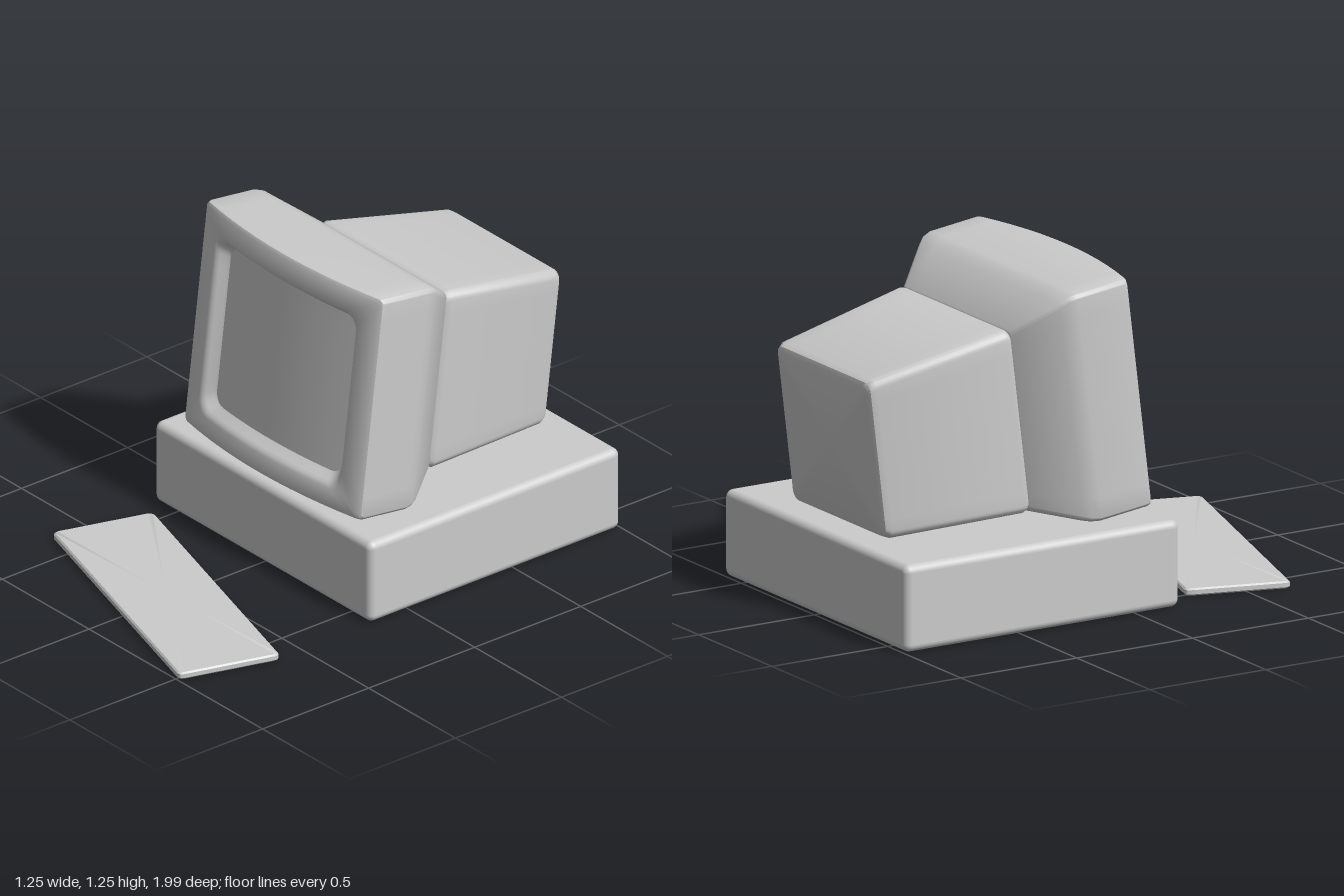
import * as THREE from 'three';
import { toCreasedNormals } from 'three/addons/utils/BufferGeometryUtils.js';
import { RoundedBoxGeometry } from 'three/addons/geometries/RoundedBoxGeometry.js';

const grey = new THREE.MeshStandardMaterial({ color: 0xcccccc });
const ARC = 6, EDGE = 12, HALF_W = 0.51;

// Rounded rectangle outline, counter-clockwise, bent backwards towards its sides
function outline([z, hx, y0, y1, r, bend = 0]) {
  const arcs = [];
  for (let k = 0; k < 4; k++) {
    const cx = (k === 0 || k === 3 ? 1 : -1) * (hx - r);
    const cy = k < 2 ? y1 - r : y0 + r;
    for (let i = 0; i <= ARC; i++) {
      const a = (k + i / ARC) * Math.PI / 2;
      arcs.push([cx + r * Math.cos(a), cy + r * Math.sin(a)]);
    }
  }
  const pts = [];
  arcs.forEach((p, i) => {
    pts.push(p);
    if (i % (ARC + 1) !== ARC) return;
    const q = arcs[(i + 1) % arcs.length];
    for (let j = 1; j < EDGE; j++) {
      const t = j / EDGE;
      pts.push([p[0] + (q[0] - p[0]) * t, p[1] + (q[1] - p[1]) * t]);
    }
  });
  return pts.map(([x, y]) => [x, y, z - bend * (x / HALF_W) ** 2]);
}

// Skin through outlines ordered from back to front: [z, halfWidth, bottom, top, radius, bend]
function loft(name, sections) {
  const rings = sections.map(outline), n = rings[0].length, index = [];
  for (let i = 0; i < rings.length - 1; i++) {
    for (let j = 0; j < n; j++) {
      const a = i * n + j, b = i * n + (j + 1) % n;
      index.push(a, b, b + n, a, b + n, a + n);
    }
  }
  const geo = new THREE.BufferGeometry();
  geo.setAttribute('position', new THREE.Float32BufferAttribute(rings.flat(2), 3));
  geo.setIndex(index);
  const mesh = new THREE.Mesh(toCreasedNormals(geo, 0.65), grey);
  mesh.name = name;
  return mesh;
}

// Section shrunk towards its own centre, used to fill caps
function shrink([z, hx, y0, y1, r, bend = 0], s) {
  const c = (y0 + y1) / 2;
  return [z, hx * s, c + (y0 - c) * s, c + (y1 - c) * s, r * s, bend];
}

export function createModel() {
  const model = new THREE.Group();
  model.name = 'desktopComputer';

  // Computer case
  const unit = new THREE.Mesh(new RoundedBoxGeometry(1.25, 0.33, 1.185, 5, 0.03), grey);
  unit.name = 'computerCase';
  unit.position.set(0, 0.165, -0.407);
  model.add(unit);

  // Monitor, tilted back
  const monitor = new THREE.Group();
  monitor.name = 'monitor';
  monitor.position.set(0, 0.36, 0.2);
  monitor.rotation.x = -0.122;
  model.add(monitor);

  // Front housing: chamfered back, straight sides, curved bezel and sloped recess
  const back = [-0.5, 0.355, 0.08, 0.767, 0.02];
  const B = 0.06;
  monitor.add(loft('monitorHousing', [
    shrink(back, 0),
    back,
    [-0.495, 0.368, 0.073, 0.777, 0.02],
    [-0.345, 0.483, 0.022, 0.868, 0.02],
    [-0.315, 0.501, 0.014, 0.887, 0.02],
    [-0.28, 0.51, 0.01, 0.895, 0.02],
    [-0.02, 0.51, 0.01, 0.895, 0.02, B],
    [-0.006, 0.506, 0.014, 0.891, 0.02, B],
    [0, 0.492, 0.026, 0.879, 0.02, B],
    [0, 0.415, 0.088, 0.808, 0.06, B],
    [-0.006, 0.4, 0.102, 0.794, 0.06, B],
    [-0.016, 0.39, 0.111, 0.785, 0.058, B],
    [-0.042, 0.37, 0.13, 0.769, 0.052, B],
    [-0.048, 0.362, 0.136, 0.763, 0.05, B],
  ]));

  // Gently curved screen
  const glass = [-0.048, 0.362, 0.136, 0.763, 0.05, B];
  monitor.add(loft('screen', [1, 0.8, 0.6, 0.4, 0.2, 0].map((s) => shrink(glass, s))));

  // Tapered rear housing
  const rear = [-1.09, 0.3, 0.14, 0.702, 0.03];
  const neck = [-0.492, 0.36, 0.084, 0.764, 0.03];
  monitor.add(loft('rearHousing', [
    shrink(rear, 0),
    rear,
    [-1.082, 0.317, 0.122, 0.72, 0.035],
    [-1.06, 0.327, 0.112, 0.731, 0.035],
    [-0.52, 0.374, 0.07, 0.779, 0.035],
    [-0.502, 0.37, 0.075, 0.774, 0.035],
    neck,
    shrink(neck, 0),
  ]));

  // Thin keyboard lying askew in front
  const slab = (z, inset) => [z, 0.598 - inset, -0.2 + inset, 0.2 - inset, 0.02];
  const board = loft('keyboardSlab', [
    shrink(slab(0, 0.006), 0), slab(0, 0.006), slab(0.006, 0),
    slab(0.022, 0), slab(0.028, 0.006), shrink(slab(0.028, 0.006), 0),
  ]);
  board.rotation.x = -Math.PI / 2;
  const keyboard = new THREE.Group();
  keyboard.name = 'keyboard';
  keyboard.add(board);
  keyboard.position.set(0, 0, 0.637);
  keyboard.rotation.y = -0.288;
  model.add(keyboard);

  return model;
}
